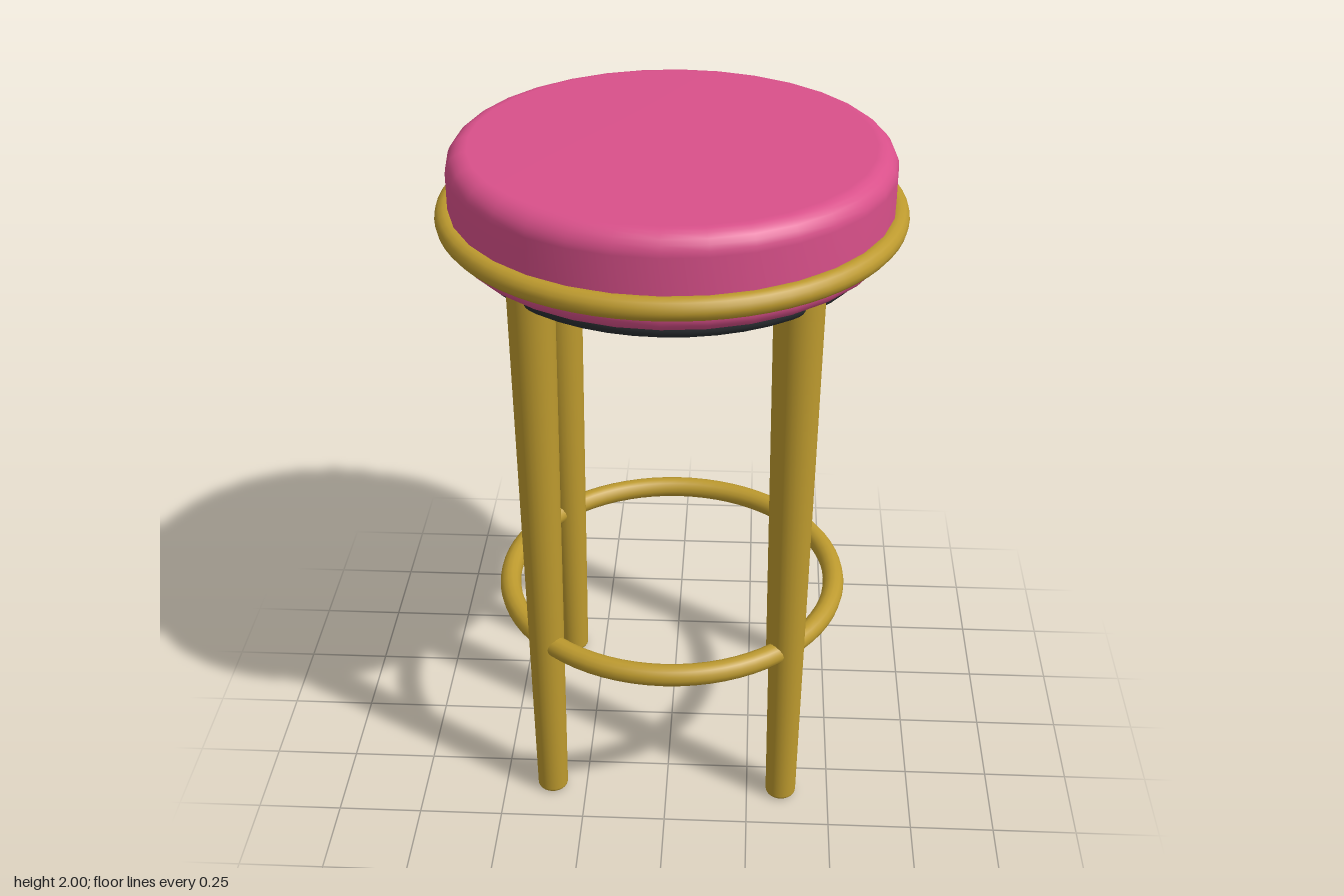
import * as THREE from 'three';

const mat = (name, color) => new THREE.MeshStandardMaterial({ name, color });

// Closed turned solid with rounded bottom and top edges
function turned(rBottom, rTop, y0, y1, edgeBottom, edgeTop, segments) {
  const points = [new THREE.Vector2(0, y0)];
  const steps = 6;
  const arc = (r, y, edge, from) => {
    for (let i = 0; i <= steps; i++) {
      const a = from + (i / steps) * Math.PI / 2;
      points.push(new THREE.Vector2(r - edge + edge * Math.cos(a), y + edge * Math.sin(a)));
    }
  };
  arc(rBottom, y0 + edgeBottom, edgeBottom, -Math.PI / 2);
  arc(rTop, y1 - edgeTop, edgeTop, 0);
  points.push(new THREE.Vector2(0, y1));
  return new THREE.LatheGeometry(points, segments);
}

export function createModel() {
  const stool = new THREE.Group();
  stool.name = 'barStool';
  const pink = mat('pink upholstery', 0xd9508a);
  const gold = mat('brushed gold', 0xbd9a2e);
  const dark = mat('dark base', 0x2b2f33);

  const add = (name, geometry, material, x = 0, y = 0, z = 0) => {
    const mesh = new THREE.Mesh(geometry, material);
    mesh.name = name;
    mesh.position.set(x, y, z);
    stool.add(mesh);
    return mesh;
  };

  // Seat cushion and the plate beneath it
  add('seatCushion', turned(0.615, 0.615, 1.725, 2, 0.05, 0.06, 32), pink);
  add('seatPlate', turned(0.557, 0.557, 1.682, 1.74, 0.03, 0.005, 48), dark);

  // Trim around the seat and the foot ring through the legs
  const ring = (name, radius, tube, y) =>
    add(name, new THREE.TorusGeometry(radius, tube, 14, 72).rotateX(Math.PI / 2), gold, 0, y, 0);
  ring('seatTrim', 0.62, 0.032, 1.807);
  ring('footRing', 0.503, 0.032, 0.564);

  // Four tapered legs
  const leg = turned(0.046, 0.065, 0, 1.73, 0.014, 0.004, 24);
  for (const x of [-1, 1]) {
    for (const z of [-1, 1]) {
      add(`${z > 0 ? 'front' : 'back'}${x > 0 ? 'Left' : 'Right'}Leg`, leg, gold, x * 0.355, 0, z * 0.355);
    }
  }
  return stool;
}
